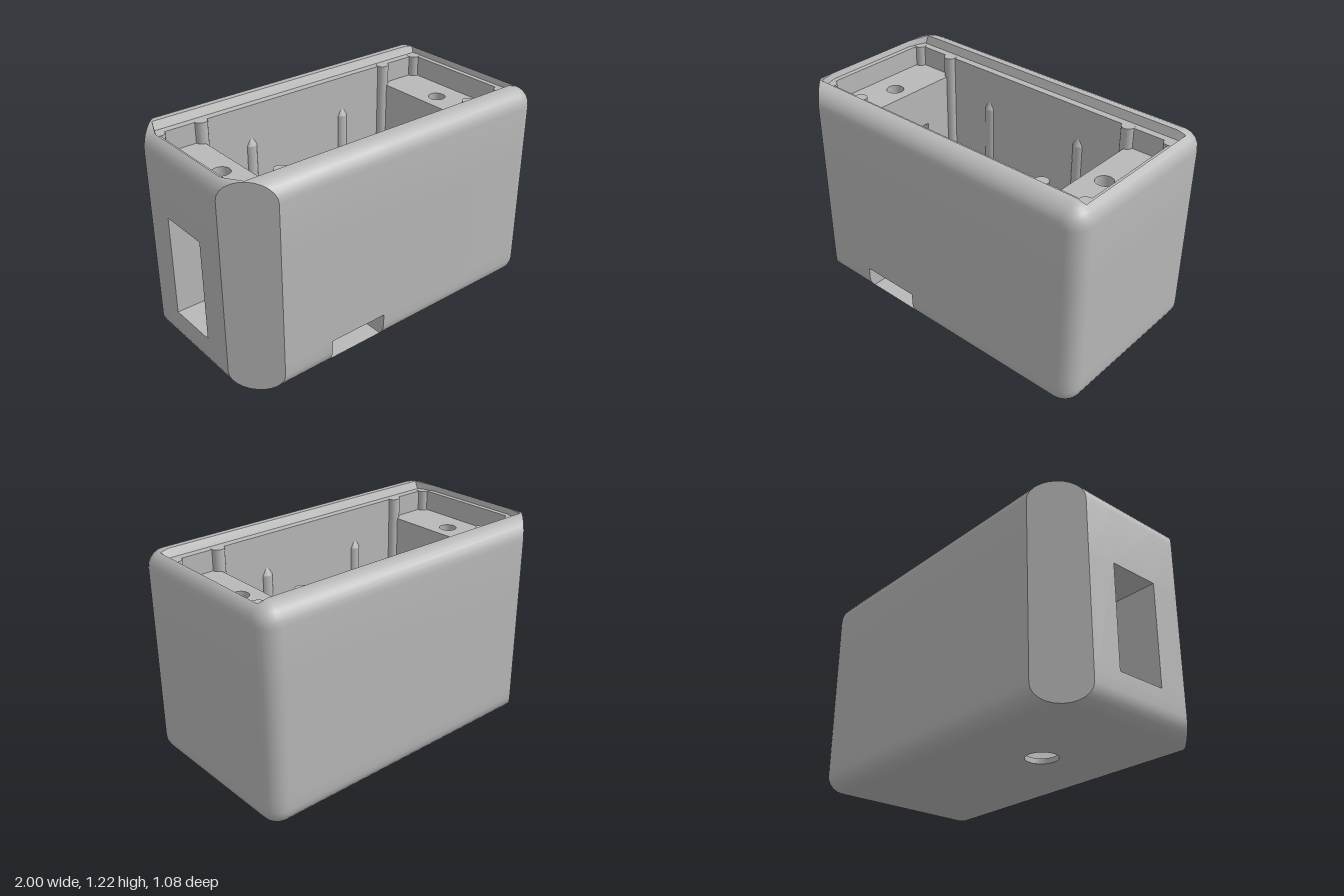
import * as THREE from 'three';
import { toCreasedNormals } from 'three/addons/utils/BufferGeometryUtils.js';

const H = 1.215, HX = 1, HZ = 0.54, R = 0.105;   // outer size and fillet radius
const FLOOR = 0.2, RIM = 1.17, SHELF = 1.05, CAV_X = 0.905, CAV_Z = 0.357;
const SLOT_LO = R * (1 - Math.SQRT1_2), SLOT_HI = 0.17;
const WIN_LO = 0.21, WIN_HI = 0.8, WIN_Z = 0.15;
const HOLE_X = -0.305, HOLE_R = 0.09;

const clamp = THREE.MathUtils.clamp;
const V = (x, y, z) => new THREE.Vector3(x, y, z);

// Skin between successive rings; skip(column, ringA, ringB) leaves openings
function loft(rings, closed = true, skip = () => false) {
  const pos = [], n = rings[0].length;
  for (let l = 0; l < rings.length - 1; l++) {
    for (let i = 0; i < (closed ? n : n - 1); i++) {
      if (skip(i, rings[l], rings[l + 1])) continue;
      const j = (i + 1) % n;
      const a = rings[l][i], b = rings[l][j], c = rings[l + 1][j], d = rings[l + 1][i];
      for (const t of [[a, b, c], [a, c, d]]) {
        const area = V().crossVectors(t[1].clone().sub(t[0]), t[2].clone().sub(t[0])).length();
        if (area > 1e-9) for (const p of t) pos.push(p.x, p.y, p.z);
      }
    }
  }
  const g = new THREE.BufferGeometry();
  g.setAttribute('position', new THREE.Float32BufferAttribute(pos, 3));
  return toCreasedNormals(g, 0.55);
}

// Polygon with an optional round hole
function holedShape(points, hx, hy, hr) {
  const s = new THREE.Shape(points.map(p => new THREE.Vector2(...p)));
  if (hr) s.holes.push(new THREE.Path().absarc(hx, hy, hr, 0, Math.PI * 2, true));
  return s;
}
const rect = (x0, x1, z0, z1) => [[x0, z0], [x1, z0], [x1, z1], [x0, z1]];

// Horizontal plate facing up or down
function plate(points, y, up, hx, hr) {
  const s = holedShape(points.map(([x, z]) => [x, up ? -z : z]), hx, 0, hr);
  return new THREE.ShapeGeometry(s, 24).rotateX(up ? -Math.PI / 2 : Math.PI / 2).translate(0, y, 0);
}

// Horizontal slab from y0 to y1
function slab(points, y0, y1, hx, hr) {
  return new THREE.ExtrudeGeometry(holedShape(points, hx, 0, hr),
    { depth: y1 - y0, bevelEnabled: false, curveSegments: 24 }).rotateX(-Math.PI / 2).translate(0, y0, 0);
}

// Inset of the outer wall at the bottom fillet
const inset = y => y >= R ? 0 : R - Math.sqrt(R * R - (R - y) ** 2);

// Outer section: two rounded corners at +x, two chamfered corners at -x
function section(d, y, top) {
  const e = top ? Math.min(d, 0.055) : d;                 // end walls stop at the lid recess
  const ye = top && d > e ? H - R + Math.sqrt(R * R - (R - e) ** 2) : y;
  const ring = [V(-0.79 - d, y, HZ - d), V(-0.48, y, HZ - d), V(-0.12, y, HZ - d)];
  const arc = (s, from) => {
    for (let k = 0; k <= 6; k++) {
      const t = from - k * Math.PI / 12;
      ring.push(V(HX - R + (R - d) * Math.cos(t), y, s * (HZ - R) + (R - d) * Math.sin(t)));
    }
  };
  arc(1, Math.PI / 2);
  ring.push(V(HX - e, ye, 0.42), V(HX - e, ye, -0.42));
  arc(-1, 0);
  ring.push(V(-0.79 - d, y, -HZ + d), V(-HX + d, y, -0.33 - d));
  for (const z of [-0.3, -WIN_Z, WIN_Z, 0.3]) ring.push(V(-HX + e, ye, z));
  ring.push(V(-HX + d, y, 0.33 + d));
  return ring;
}

function shellGeometry() {
  const rings = [], steps = 6;
  const fillet = k => [R * (1 - Math.sin(k * Math.PI / 12)), R * (1 - Math.cos(k * Math.PI / 12))];
  for (let k = 0; k <= steps; k++) { const [d, y] = fillet(k); rings.push(section(d, y)); }
  for (const y of [SLOT_HI, WIN_LO, WIN_HI]) rings.push(section(0, y));
  for (let k = steps; k >= 0; k--) { const [d, y] = fillet(k); rings.push(section(d, H - y, true)); }
  // Lid recess, ledge and cavity wall
  const rim = rings[rings.length - 1];
  const inner = (x, z, y) => rings.push(rim.map(p => V(clamp(p.x, -x, x), y ?? p.y, clamp(p.z, -z, z))));
  inner(0.945, 0.42);
  inner(0.935, 0.4, RIM);
  for (const y of [RIM, WIN_HI, WIN_LO, FLOOR]) inner(CAV_X, CAV_Z, y);
  const within = (a, b, lo, hi) => Math.min(a, b) > lo - 1e-6 && Math.max(a, b) < hi + 1e-6;
  return loft(rings, true, (i, a, b) =>
    (i === 1 && within(a[i].y, b[i].y, SLOT_LO, SLOT_HI)) ||
    (i === 22 && within(a[i].y, b[i].y, WIN_LO, WIN_HI)));
}

export function createModel() {
  const model = new THREE.Group();
  const grey = new THREE.MeshStandardMaterial({ color: 0xb8b8b8 });
  grey.name = 'plain grey';
  const add = (name, geometry, parent = model) => {
    const m = new THREE.Mesh(geometry, grey);
    m.name = name;
    parent.add(m);
    return m;
  };

  add('shell', shellGeometry());

  // Underside, floor and mounting hole
  const c = [HX - R, HZ - R];
  add('underside', plate(rect(-c[0], c[0], -c[1], c[1]), 0, false, HOLE_X, HOLE_R));
  add('floor', slab(rect(-CAV_X, CAV_X, -CAV_Z, CAV_Z), SLOT_HI, FLOOR, HOLE_X, HOLE_R));
  const circle = y => Array.from({ length: 32 }, (_, i) => {
    const t = i * Math.PI / 16;
    return V(HOLE_X + HOLE_R * Math.cos(t), y, HOLE_R * Math.sin(t));
  });
  add('mountingHole', loft([circle(0), circle(SLOT_LO)]));

  // Hexagon-ended nut slot, open at the front
  const slot = y => {
    const z = HZ - inset(y);
    return [[-0.48, z], [-0.48, 0], [-0.39, -0.156], [-0.21, -0.156], [-0.12, 0], [-0.12, z]];
  };
  const slotLevels = [SLOT_LO, R * 0.5, R * 0.7412, R, SLOT_HI];
  add('nutSlotWalls', loft(slotLevels.map(y => slot(y).map(([x, z]) => V(x, y, z))), false));
  add('nutSlotFloor', plate(slot(SLOT_LO), SLOT_LO, true, HOLE_X, HOLE_R));
  add('nutSlotCeiling', plate(slot(SLOT_HI), SLOT_HI, false, HOLE_X, HOLE_R));

  // Window through the end wall
  const windowRing = x => [V(x, WIN_LO, -WIN_Z), V(x, WIN_LO, WIN_Z), V(x, WIN_HI, WIN_Z), V(x, WIN_HI, -WIN_Z)];
  add('windowFrame', loft([windowRing(-HX), windowRing(-CAV_X)]));

  // End blocks with screw holes in their shelves
  const depth = 0.26, step = 0.85;
  const face = holedShape(rect(-CAV_Z, CAV_Z, FLOOR, step));
  face.holes.push(new THREE.Path(rect(-WIN_Z, WIN_Z, WIN_LO, WIN_HI).map(p => new THREE.Vector2(...p))));
  add('windowBlock', new THREE.ExtrudeGeometry(face, { depth, bevelEnabled: false })
    .rotateY(Math.PI / 2).translate(-CAV_X, 0, 0));
  add('plainBlock', new THREE.BoxGeometry(depth, step - FLOOR, 2 * CAV_Z)
    .translate(CAV_X - depth / 2, (step + FLOOR) / 2, 0));
  for (const s of [-1, 1]) {
    const x0 = s < 0 ? -CAV_X : CAV_X - depth;
    add('screwShelf', slab(rect(x0, x0 + depth, -CAV_Z, CAV_Z), step, SHELF, s * 0.757, 0.05));
  }

  // Wall posts and shorter pointed pegs
  const postHeight = RIM + 0.002 - FLOOR, pegHeight = 0.93 - FLOOR;
  for (const s of [-1, 1]) {
    for (const x of [-0.9, -0.645, 0.64, 0.9]) {
      add('wallPost', new THREE.CylinderGeometry(0.037, 0.037, postHeight, 24))
        .position.set(x, FLOOR + postHeight / 2, s * 0.357);
    }
    for (const x of [-0.33, 0.325]) {
      const peg = new THREE.Group();
      peg.name = 'wallPeg';
      add('pegShaft', new THREE.CylinderGeometry(0.037, 0.037, pegHeight, 24), peg)
        .position.y = FLOOR + pegHeight / 2;
      add('pegTip', new THREE.ConeGeometry(0.037, 0.08, 24), peg).position.y = 0.97;
      peg.position.set(x, 0, s * 0.375);
      model.add(peg);
    }
  }
  return model;
}
